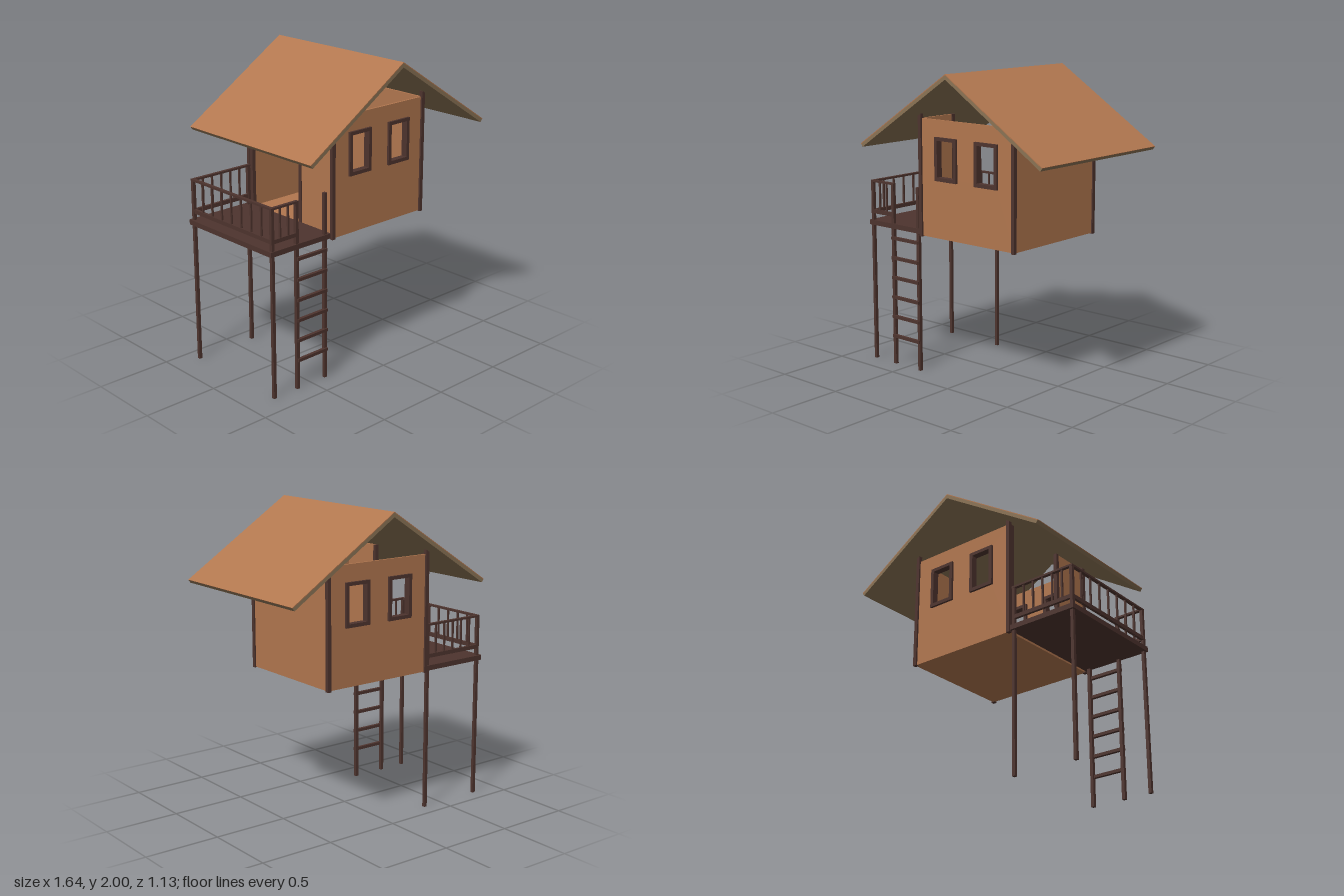
import * as THREE from 'three';

const mat = (name, color) => {
  const m = new THREE.MeshStandardMaterial({ color });
  m.name = name;
  return m;
};

export function createModel() {
  const model = new THREE.Group();
  const wood = mat('orange wood', 0xb2774f);
  const dark = mat('dark timber', 0x4e342e);
  const olive = mat('olive lining', 0x8b7355);

  const group = (name) => {
    const g = new THREE.Group();
    g.name = name;
    model.add(g);
    return g;
  };
  // Box given by its low and high limits on each axis
  const box = (parent, name, m, x0, x1, y0, y1, z0, z1) => {
    const mesh = new THREE.Mesh(new THREE.BoxGeometry(x1 - x0, y1 - y0, z1 - z0), m);
    mesh.position.set((x0 + x1) / 2, (y0 + y1) / 2, (z0 + z1) / 2);
    mesh.name = name;
    parent.add(mesh);
  };
  // Square upright centred on x, z
  const upright = (parent, name, x, z, y0, y1, w) =>
    box(parent, name, dark, x - w / 2, x + w / 2, y0, y1, z - w / 2, z + w / 2);
  const rect = (Kind, x0, x1, y0, y1) => {
    const p = new Kind();
    p.moveTo(x0, y0);
    p.lineTo(x1, y0);
    p.lineTo(x1, y1);
    p.lineTo(x0, y1);
    p.closePath();
    return p;
  };
  const extrude = (parent, name, m, shape, depth, z) => {
    const mesh = new THREE.Mesh(new THREE.ExtrudeGeometry(shape, { depth, bevelEnabled: false }), m);
    mesh.position.z = z;
    mesh.name = name;
    parent.add(mesh);
  };

  // Cabin: floor, walls with window holes, open gables
  const cabin = group('cabin');
  const windows = [-0.11, 0.225];
  box(cabin, 'floor', wood, -0.335, 0.445, 0.93, 0.945, -0.405, 0.368);
  box(cabin, 'leftWall', wood, 0.433, 0.447, 0.93, 1.69, -0.4, 0.365);
  box(cabin, 'doorSideWall', wood, -0.337, -0.323, 0.93, 1.69, 0.09, 0.365);
  for (const [side, z] of [['front', 0.36], ['back', -0.411]]) {
    const wall = rect(THREE.Shape, -0.337, 0.447, 0.93, 1.69);
    for (const x of windows) wall.holes.push(rect(THREE.Path, x - 0.075, x + 0.075, 1.32, 1.565));
    extrude(cabin, side + 'Wall', wood, wall, 0.014, z);
    for (const x of windows) {
      const frame = rect(THREE.Shape, x - 0.092, x + 0.092, 1.303, 1.582);
      frame.holes.push(rect(THREE.Path, x - 0.069, x + 0.069, 1.326, 1.56));
      extrude(cabin, side + 'WindowFrame', dark, frame, 0.044, z - 0.015);
    }
  }

  // Corner posts and door jambs
  for (const x of [-0.333, 0.443])
    for (const z of [0.374, -0.411]) upright(cabin, 'cornerPost', x, z, 0.925, 1.728, 0.025);
  for (const z of [0.085, -0.385]) upright(cabin, 'doorJamb', -0.33, z, 0.945, 1.69, 0.025);

  // Gable roof: olive slab with a thin wooden skin
  const roof = group('roof');
  const ridge = 0.065;
  const chevron = (top, bottom) => {
    const slope = 0.645, half = 0.75;
    const s = new THREE.Shape();
    const eave = (side, d) => [ridge + side * (half - d * 0.5), 2 - d - slope * (half - d * 0.5)];
    s.moveTo(ridge, 2 - top);
    s.lineTo(...eave(-1, top));
    s.lineTo(...eave(-1, bottom));
    s.lineTo(ridge, 2 - bottom);
    s.lineTo(...eave(1, bottom));
    s.lineTo(...eave(1, top));
    s.closePath();
    return s;
  };
  extrude(roof, 'roofSkin', wood, chevron(0, 0.006), 1.13, -0.565);
  extrude(roof, 'roofLining', olive, chevron(0.006, 0.032), 1.13, -0.565);

  // Balcony deck and the legs that rise into railing posts
  const balcony = group('balcony');
  const outer = -0.803, inner = -0.363, gate = -0.613, front = 0.354, back = -0.396;
  box(balcony, 'deck', dark, -0.825, -0.347, 0.934, 0.967, -0.42, 0.37);
  for (const [x, z] of [[outer, front], [outer, back], [inner, back]])
    upright(balcony, 'leg', x, z, 0, 1.235, 0.021);

  // Railing runs between two points, with evenly spaced balusters
  const railing = (name, x0, z0, x1, z1, count) => {
    const g = new THREE.Group();
    g.name = name;
    balcony.add(g);
    const bar = (label, y0, y1, w) => box(g, label, dark,
      Math.min(x0, x1) - w, Math.max(x0, x1) + w, y0, y1,
      Math.min(z0, z1) - w, Math.max(z0, z1) + w);
    bar('topRail', 1.224, 1.237, 0.011);
    bar('bottomRail', 1.012, 1.038, 0.009);
    for (let i = 1; i <= count; i++) {
      const t = i / (count + 1);
      upright(g, 'baluster', x0 + (x1 - x0) * t, z0 + (z1 - z0) * t, 1.01, 1.228, 0.011);
    }
  };
  railing('backRailing', outer, back, inner, back, 5);
  railing('sideRailing', outer, back, outer, front, 7);
  railing('frontRailing', outer, front, gate, front, 2);

  // Ladder
  const ladder = group('ladder');
  for (const x of [gate, -0.383]) upright(ladder, 'ladderRail', x, front, 0, 1.235, 0.022);
  for (let i = 0; i < 6; i++) {
    const y = 0.197 + i * 0.1345;
    box(ladder, 'rung', dark, -0.62, -0.376, y - 0.01, y + 0.01, 0.354, 0.375);
  }
  return model;
}
